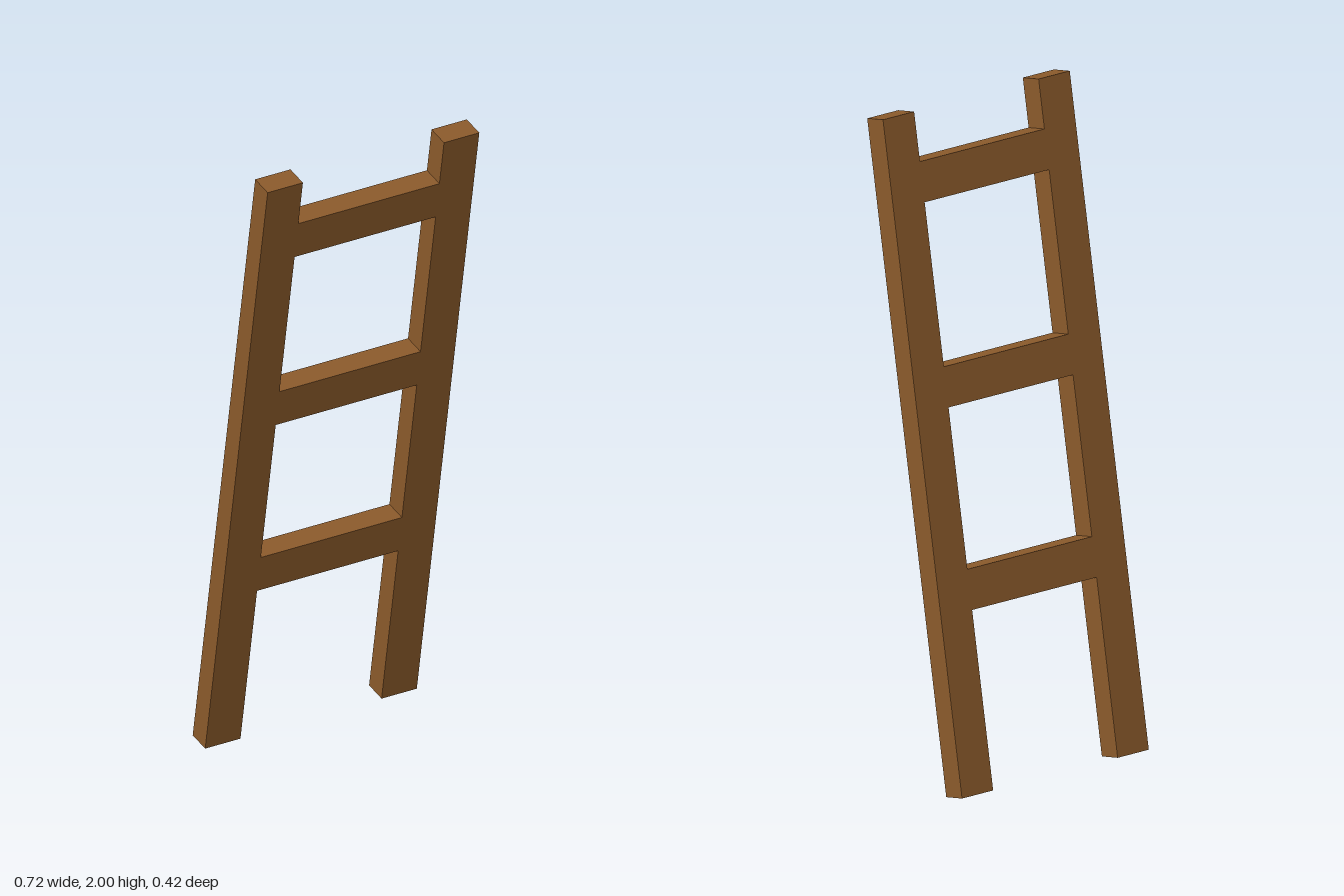
import * as THREE from 'three';

export function createModel() {
  const wood = new THREE.MeshStandardMaterial({ color: 0x8b5a2b });
  wood.name = 'brown wood';

  const depth = 0.071;
  const ladder = new THREE.Group();
  ladder.name = 'ladder';

  function addBeam(name, width, height, x, y) {
    const beam = new THREE.Mesh(new THREE.BoxGeometry(width, height, depth), wood);
    beam.name = name;
    beam.position.set(x, y, 0);
    ladder.add(beam);
  }

  // Side rails
  addBeam('leftRail', 0.12, 2.018, 0.3, 0);
  addBeam('rightRail', 0.12, 2.018, -0.3, 0);

  // Rungs fitted between the rails
  [['lowerRung', -0.412], ['middleRung', 0.19], ['upperRung', 0.8]].forEach(
    ([name, y]) => addBeam(name, 0.48, 0.121, 0, y)
  );

  // Lean the top forward and stand the ladder on the ground
  ladder.rotation.x = THREE.MathUtils.degToRad(10);
  ladder.position.y = 1;

  const model = new THREE.Group();
  model.name = 'leaningLadder';
  model.add(ladder);
  return model;
}
